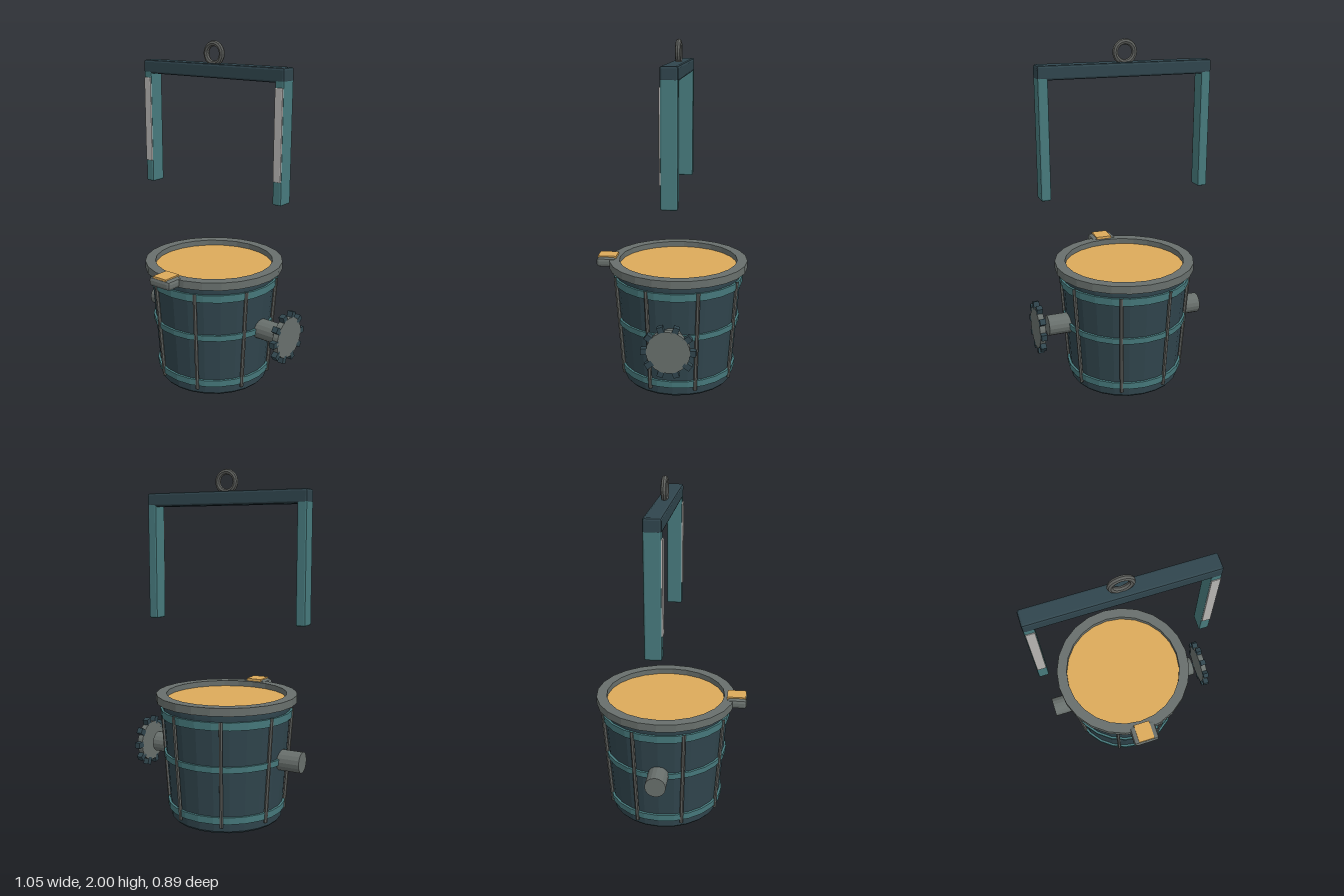
import * as THREE from 'three';
import { RoundedBoxGeometry } from 'three/addons/geometries/RoundedBoxGeometry.js';

const paint = (color) => new THREE.MeshStandardMaterial({ color, flatShading: true });

export function createModel() {
  const dark = paint(0x30454d);
  const teal = paint(0x477a7d);
  const grey = paint(0x686f6c);
  const iron = paint(0x5e605d);
  const sand = paint(0xdcaa5a);
  const pale = paint(0xb8b6b4);

  const model = new THREE.Group();
  // everything is built around the bucket axis
  const root = new THREE.Group();
  root.name = 'bucketAssembly';
  root.position.set(-0.025, 0, -0.04);
  model.add(root);

  function add(name, geometry, material, x = 0, y = 0, z = 0, parent = root) {
    const mesh = new THREE.Mesh(geometry, material);
    mesh.name = name;
    mesh.position.set(x, y, z);
    parent.add(mesh);
    return mesh;
  }
  const lathe = (points) =>
    new THREE.LatheGeometry(points.map(([r, y]) => new THREE.Vector2(r, y)), 24);
  const chamferBox = (w, h, d, r) => new RoundedBoxGeometry(w, h, d, 1, r);
  const wall = (y) => 0.326 + 0.072 * y; // outer radius of the bucket at a height

  // bucket body
  add('bucketBody', lathe([
    [0, 0], [0.316, 0], [0.326, 0.012], [wall(0.66), 0.66], [wall(0.66), 0.69], [0.35, 0.69],
  ]), dark);

  // rim and filling
  add('rim', lathe([
    [0.35, 0.685], [0.41, 0.685], [0.41, 0.73], [0.35, 0.73], [0.35, 0.685],
  ]), grey);
  add('filling', new THREE.CylinderGeometry(0.351, 0.351, 0.02, 24), sand, 0, 0.687, 0);

  // hoops round the wall
  for (const [y, h] of [[0.08, 0.04], [0.375, 0.035], [0.622, 0.045]]) {
    const a = y - h / 2, b = y + h / 2, out = 0.013;
    add('hoop', lathe([
      [wall(a) - 0.01, a], [wall(a) + out, a], [wall(b) + out, b], [wall(b) - 0.01, b],
    ]), teal);
  }

  // upright ribs
  for (let i = 0; i < 8; i++) {
    const t = (i + 0.5) * Math.PI / 4;
    const at = (y) => new THREE.Vector3(
      Math.sin(t) * (wall(y) + 0.009), y, Math.cos(t) * (wall(y) + 0.009));
    const curve = new THREE.LineCurve3(at(0.04), at(0.65));
    add('rib', new THREE.TubeGeometry(curve, 1, 0.011, 6), iron);
  }

  // pouring lip
  add('pouringLip', chamferBox(0.155, 0.055, 0.117, 0.018), grey, 0, 0.71, 0.425);
  add('lipFilling', new THREE.BoxGeometry(0.096, 0.02, 0.11), sand, 0, 0.735, 0.422);

  // side pivots
  for (const side of [-1, 1]) {
    const pivot = add('pivot', new THREE.CylinderGeometry(0.06, 0.06, 0.16, 16), grey,
      side * 0.398, 0.375, 0);
    pivot.rotation.z = Math.PI / 2;
  }

  // tilting gear, set off from the left pivot
  const gear = new THREE.Group();
  gear.name = 'tiltGear';
  gear.position.set(0.532, 0.375, 0);
  root.add(gear);
  const disc = add('gearDisc', new THREE.CylinderGeometry(0.12, 0.12, 0.034, 20), grey, 0, 0, 0, gear);
  disc.rotation.z = Math.PI / 2;
  for (let i = 0; i < 10; i++) {
    const t = i * Math.PI / 5;
    const tooth = add('gearTooth', new THREE.BoxGeometry(0.034, 0.034, 0.045), dark,
      0, -Math.sin(t) * 0.128, Math.cos(t) * 0.128, gear);
    tooth.rotation.x = t;
  }

  // lifting yoke
  const yoke = new THREE.Group();
  yoke.name = 'liftingYoke';
  root.add(yoke);
  add('crossbar', chamferBox(1.0, 0.078, 0.095, 0.012), dark, 0, 1.838, 0, yoke);
  for (const side of [-1, 1]) {
    add('yokeArm', chamferBox(0.058, 0.7, 0.093, 0.01), teal, side * 0.47, 1.495, 0, yoke);
    add('armPlate', chamferBox(0.05, 0.5, 0.02, 0.005), pale, side * 0.47, 1.525, 0.042, yoke);
  }
  add('liftingEye', new THREE.TorusGeometry(0.055, 0.016, 8, 20), iron, 0, 1.929, 0, yoke);

  return model;
}
